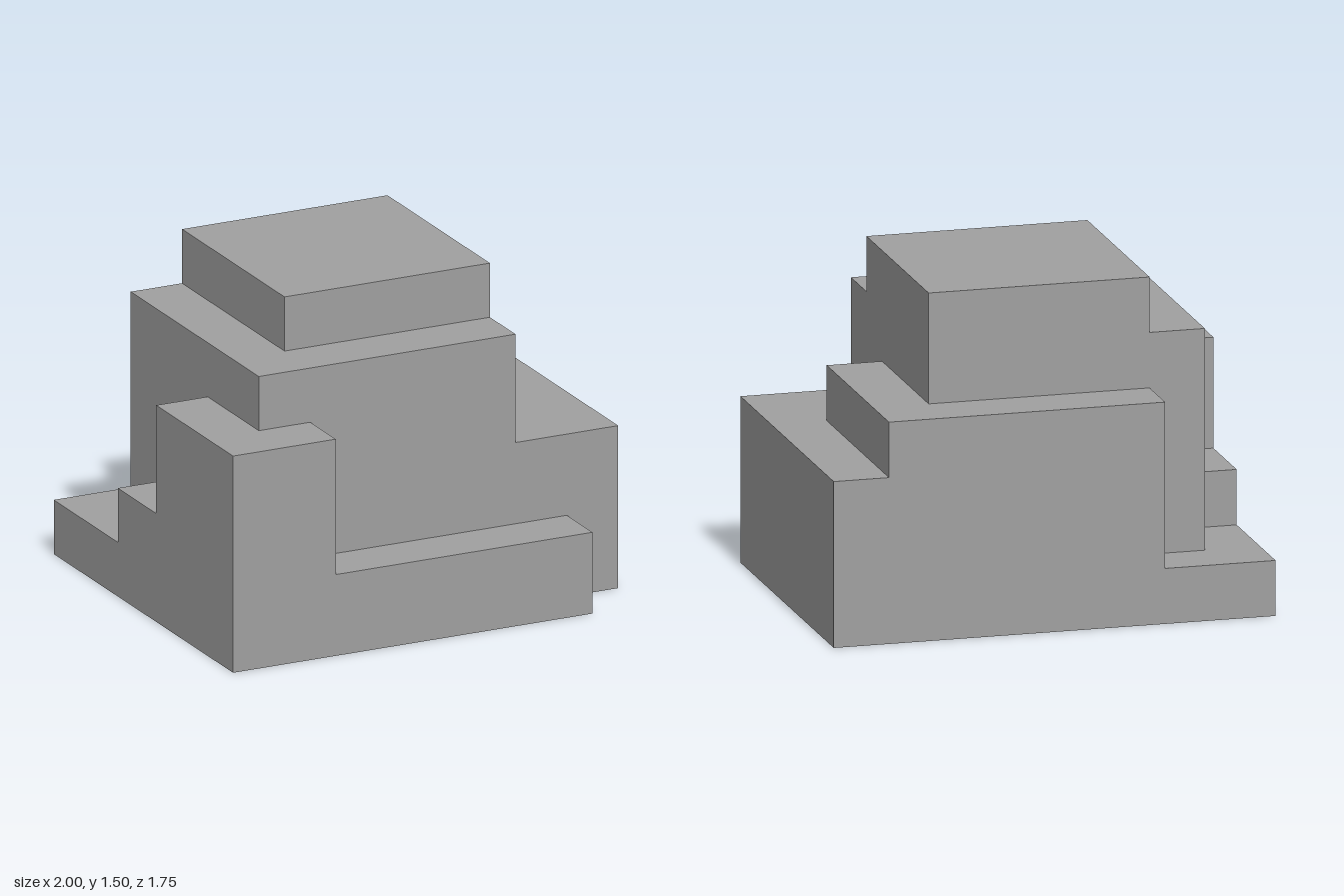
import * as THREE from 'three';

export function createModel() {
  const group = new THREE.Group();
  group.name = 'steppedBlock';

  const grey = new THREE.MeshStandardMaterial({ color: 0xa0a0a0 });
  grey.name = 'grey';

  // Adds a box given by its extents along each axis
  function block(name, [x0, x1], [y0, y1], [z0, z1]) {
    const geometry = new THREE.BoxGeometry(x1 - x0, y1 - y0, z1 - z0);
    const mesh = new THREE.Mesh(geometry, grey);
    mesh.position.set((x0 + x1) / 2, (y0 + y1) / 2, (z0 + z1) / 2);
    mesh.name = name;
    group.add(mesh);
  }

  // Central mass and the raised top
  block('core', [-0.75, 0.5], [0, 1.25], [-0.625, 0.625]);
  block('topBlock', [-0.5, 0.5], [1.25, 1.5], [-0.625, 0.375]);

  // Terrace and ledge on the +x side
  block('leftTerrace', [0.5, 1], [0, 0.75], [-0.875, 0.625]);
  block('leftLedge', [0.5, 0.75], [0.75, 1], [-0.875, 0.125]);

  // Back wall with its low corner
  block('backWall', [-0.5, 0.5], [0, 1], [-0.875, -0.625]);
  block('backLowCorner', [-1, -0.5], [0, 0.25], [-0.875, -0.625]);

  // Steps rising to the front along the -x side
  block('rightLowStep', [-1, -0.75], [0, 0.25], [-0.625, -0.25]);
  block('rightMiddleStep', [-1, -0.75], [0, 0.5], [-0.25, 0.125]);
  block('rightHighStep', [-1, -0.75], [0, 1], [0.125, 0.625]);

  // Front pillar and low front ledge
  block('frontPillar', [-1, -0.5], [0, 1], [0.625, 0.875]);
  block('frontLedge', [-0.5, 0.75], [0, 0.375], [0.625, 0.875]);

  return group;
}
